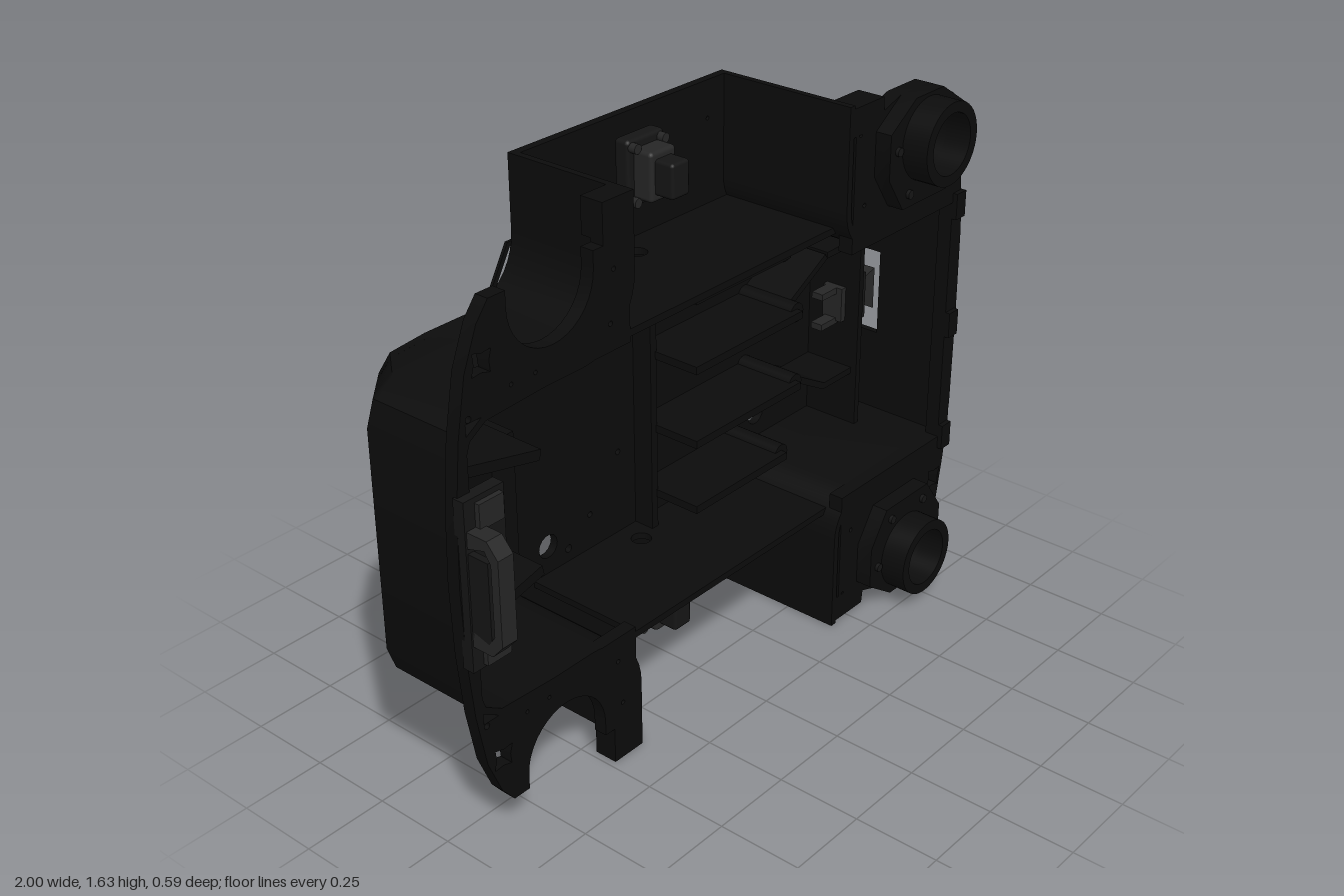
import * as THREE from 'three';
import { toCreasedNormals } from 'three/addons/utils/BufferGeometryUtils.js';
import { RoundedBoxGeometry } from 'three/addons/geometries/RoundedBoxGeometry.js';

const MID = 0.815; // mirror line of the tray, in y
const mat = (color) => new THREE.MeshStandardMaterial({ color, side: THREE.DoubleSide });
const black = mat(0x0c0c0c), dark = mat(0x151515), grey = mat(0x262626);
const flip = (p) => [p[0], 2 * MID - p[1]];
const vec = (pts) => pts.map((p) => new THREE.Vector2(p[0], p[1]));

// Points along an arc, angles in degrees
function arc(cx, cy, r, a0, a1, n = 10) {
  return Array.from({ length: n + 1 }, (_, i) => {
    const a = THREE.MathUtils.degToRad(a0 + ((a1 - a0) * i) / n);
    return [cx + r * Math.cos(a), cy + r * Math.sin(a)];
  });
}

// Extrudes an outline between two z levels, with round or polygon holes
function slab(pts, z0, z1, holes = [], steps = 1) {
  const shape = new THREE.Shape(vec(pts));
  for (const h of holes) shape.holes.push(new THREE.Path(vec(h)));
  const geo = new THREE.ExtrudeGeometry(shape, { depth: z1 - z0, bevelEnabled: false, steps });
  return toCreasedNormals(geo.translate(0, 0, z0), 0.6);
}
const hole = (x, y, r) => arc(x, y, r, 0, 360, r > 0.05 ? 40 : 14).slice(0, -1);
const star = (x, y) => Array.from({ length: 8 }, (_, i) => {
  const a = (i * Math.PI) / 4 + 0.7, r = i % 2 ? 0.024 : 0.042;
  return [x + r * Math.cos(a), y + r * Math.sin(a)];
});
const mirrorHoles = (list) => list.flatMap(([x, y, r]) => [hole(x, y, r), hole(x, 2 * MID - y, r)]);

// Thickens a polyline to one side, giving a closed wall outline
function ribbon(pts, t) {
  const inner = pts.map((p, i) => {
    const a = pts[Math.max(i - 1, 0)], b = pts[Math.min(i + 1, pts.length - 1)];
    const l = Math.hypot(b[0] - a[0], b[1] - a[1]);
    return [p[0] - ((b[1] - a[1]) / l) * t, p[1] + ((b[0] - a[0]) / l) * t];
  });
  return [...pts, ...inner.reverse()];
}

// Draws the left end in toward the back, so that it slopes
function slopeEnd(geo) {
  const p = geo.attributes.position;
  for (let i = 0; i < p.count; i++) {
    const x = p.getX(i), z = p.getZ(i);
    if (x < -0.7 && z < -0.2) p.setX(i, -0.7 + (x + 0.7) * (1 - ((-0.2 - z) / 0.09) * 0.39));
  }
  geo = geo.toNonIndexed();
  geo.computeVertexNormals();
  return toCreasedNormals(geo, 0.6);
}

export function createModel() {
  const model = new THREE.Group();
  const add = (name, geo, m = black, x = 0, y = 0, z = 0, parent = model) => {
    const mesh = new THREE.Mesh(geo, m);
    mesh.name = name;
    mesh.position.set(x, y, z);
    parent.add(mesh);
    return mesh;
  };
  const box = (name, x0, x1, y0, y1, z0, z1, m = black) =>
    add(name, new THREE.BoxGeometry(x1 - x0, y1 - y0, z1 - z0), m, (x0 + x1) / 2, (y0 + y1) / 2, (z0 + z1) / 2);
  // Upright rib between two points of the floor
  const rib = (name, a, b, t, z0, z1) => add(name, slab(ribbon([a, b], t), z0, z1));

  // Tray outline: upper halves of the left and right ends
  const leftTop = [[-0.98, MID], [-0.98, 1.13], [-0.955, 1.2], [-0.89, 1.24], [-0.7, 1.25],
    ...arc(-0.56, 1.42, 0.17, -90, 0), [-0.39, 1.63]];
  const rightTop = [[0.44, 1.63], ...arc(0.55, 1.33, 0.11, 180, 270), [0.97, 1.22], [0.99, 1.2], [0.99, MID]];
  const mirrored = (pts) => pts.slice().reverse().map(flip);
  const leftEdge = [...mirrored(leftTop), ...leftTop.slice(1)].reverse();
  const rightEdge = [...rightTop, ...mirrored(rightTop).slice(1)].reverse();

  // Floor with drain and screw holes
  const floorHoles = [[-0.33, 1.165, 0.036], [0.58, 1.12, 0.036], [-0.05, 1.335, 0.029], [-0.54, 1, 0.009],
    [-0.04, 0.99, 0.009], [-0.49, 1.11, 0.009], [-0.25, 1.21, 0.012], [-0.16, 1.14, 0.009],
    [-0.29, 1.52, 0.006], [0.35, 1.52, 0.006]];
  add('floor', slopeEnd(slab([...leftEdge, ...rightEdge], -0.29, -0.265,
    [...mirrorHoles(floorHoles), hole(0.31, 0.435, 0.014)])));

  // End walls, sweeping round into the side blocks
  add('leftWall', slopeEnd(slab(ribbon(leftEdge, 0.02), -0.29, 0.11, [], 40)));
  const half = (sign) => {
    const pts = rightTop.slice(0, -2);
    return ribbon(sign > 0 ? pts.slice().reverse() : pts.map(flip), 0.02);
  };
  for (const s of [1, -1]) add('rightSideWall', slab(half(s), -0.29, 0.165));

  // Right end wall with a window, built flat and turned upright
  const endWall = slab([[-0.165, 0.415], [0.29, 0.415], [0.29, 1.215], [-0.165, 1.215]], -0.02, 0,
    [[[0.1, 0.69], [0.23, 0.69], [0.23, 0.96], [0.1, 0.96]]]);
  add('rightEndWall', endWall.rotateY(Math.PI / 2), black, 0.99);
  const recess = new THREE.CylinderGeometry(0.5, 1, 0.06, 4, 1, true).rotateY(Math.PI / 4)
    .scale(0.135 / Math.SQRT2, 1, 0.065 / Math.SQRT2).rotateZ(Math.PI / 2).toNonIndexed();
  recess.computeVertexNormals();
  add('windowRecess', recess, grey, 0.96, 0.825, -0.165);
  box('socketPlate', 0.9, 0.935, 0.75, 0.9, -0.205, -0.125, dark);
  add('socket', new RoundedBoxGeometry(0.03, 0.12, 0.05, 3, 0.012), dark, 0.94, 0.825, -0.165);
  for (const y of [0.795, 0.855])
    add('socketPin', new THREE.CylinderGeometry(0.017, 0.017, 0.02, 16).rotateZ(Math.PI / 2), grey, 0.952, y, -0.165);
  box('socketBody', 0.82, 0.9, 0.77, 0.88, -0.2, -0.13, grey);
  for (const y of [0.76, 0.86]) box('socketLug', 0.75, 0.83, y, y + 0.02, -0.19, -0.15, grey);
  add('endPanel', new RoundedBoxGeometry(0.008, 0.26, 0.145, 2, 0.003), grey, 0.99, 0.825, 0.025);

  // Inner walls dividing the tray from the open side blocks
  for (const y of [1.26, flip([0, 1.26])[1]]) {
    const g = slab([[-0.39, -0.29], [0.45, -0.29], [0.45, 0.11], [-0.39, 0.11]], -0.01, 0.01, [hole(-0.03, -0.19, 0.03)]);
    add('dividingWall', g.rotateX(Math.PI / 2), black, 0, y);
  }

  // Left rim plate with wheel cut-outs
  const leftRim = [[-0.39, 1.63], [-0.48, 1.63], [-0.48, 1.52], [-0.515, 1.52],
    ...arc(-0.66, 1.475, 0.145, 0, -180, 18), [-0.805, 1.52], [-0.86, 1.52], [-0.9, 1.47], [-0.945, 1.36],
    [-0.975, 1.2], [-0.993, 1.02], [-1, MID]];
  const leftInner = [[-0.95, 1.235], [-0.39, 1.235]];
  add('leftRimPlate', slab([...leftRim, ...mirrored(leftRim).slice(1), ...mirrored(leftInner), ...leftInner],
    0.07, 0.11, [star(-0.89, 1.37), star(-0.89, flip([0, 1.37])[1]),
      ...mirrorHoles([[-0.94, 1.245, 0.009], [-0.8, 1.28, 0.006], [-0.72, 1.28, 0.006], [-0.46, 1.31, 0.007], [-0.445, 1.45, 0.007]])]));

  // Right rim plate carrying the two round mounts
  const rightRim = [[0.45, 1.62], [0.57, 1.62], [0.575, 1.58], [0.65, 1.605], [0.78, 1.605], [0.87, 1.565],
    [0.91, 1.54], [0.95, 1.43], [0.975, 1.28], [0.992, 1.1], [0.995, MID]];
  const rightInner = [[0.94, 1.2], [0.45, 1.2]];
  add('rightRimPlate', slab([...rightRim, ...mirrored(rightRim).slice(1), ...mirrored(rightInner), ...rightInner],
    0.12, 0.165, [star(0.928, 1.34), star(0.928, flip([0, 1.34])[1]),
      ...mirrorHoles([[0.715, 1.475, 0.089], [0.47, 1.54, 0.007], [0.5, 1.33, 0.007], [0.91, 1.45, 0.012]])]));
  for (const y of [0.43, 0.81, 1.19]) box('rimPad', 0.94, 0.985, y - 0.04, y + 0.04, 0.16, 0.18);

  for (const s of [1, -1]) {
    const Y = (y) => MID + s * (y - MID);
    const span = (name, x0, x1, y0, y1, z0, z1, m) =>
      box(name, x0, x1, Math.min(Y(y0), Y(y1)), Math.max(Y(y0), Y(y1)), z0, z1, m);

    // Round mount: eight-sided flange, collar and screws
    const cy = Y(1.475);
    const flange = [[0.54, 1.4], [0.54, 1.53], [0.65, 1.605], [0.78, 1.605], [0.895, 1.53], [0.895, 1.4], [0.82, 1.295], [0.61, 1.295]];
    add('mountFlange', slab(flange.map(([x, y]) => [x, Y(y)]), 0.165, 0.215, [hole(0.715, cy, 0.089)]));
    add('mountCollar', slab(hole(0.715, cy, 0.12), 0.215, 0.295, [hole(0.715, cy, 0.089)]));
    for (const [dx, dy] of [[-0.14, 0], [0.14, 0], [-0.08, -0.14], [0.08, -0.14]])
      add('mountScrew', new THREE.CylinderGeometry(0.013, 0.013, 0.014, 12).rotateX(Math.PI / 2), dark, 0.715 + dx, Y(1.475 + dy), 0.218);

    // Block corner strips
    span('rightBlockFlange', 0.44, 0.57, 1.54, 1.62, 0.08, 0.165);
    span('leftBlockFlange', -0.48, -0.38, 1.53, 1.63, 0.04, 0.11);

    // Connector standing in the open side block
    const plug = new THREE.Group();
    plug.name = 'connector';
    plug.position.set(0.025, Y(1.485), -0.265);
    plug.scale.y = s;
    model.add(plug);
    add('connectorBase', new RoundedBoxGeometry(0.145, 0.19, 0.05, 2, 0.012), dark, 0, 0, 0.04, plug);
    add('connectorBody', new RoundedBoxGeometry(0.1, 0.14, 0.07, 2, 0.012), grey, 0, 0, 0.09, plug);
    add('connectorCap', new RoundedBoxGeometry(0.07, 0.1, 0.07, 2, 0.01), dark, 0, 0, 0.15, plug);
    for (const x of [-0.055, 0.055]) for (const y of [-0.075, 0.075])
      add('connectorScrew', new THREE.CylinderGeometry(0.014, 0.014, 0.04, 12).rotateX(Math.PI / 2), grey, x, y, 0.065, plug);

    // Shelves and slanted ribs inside the tray
    for (const [y, x1] of [[1.14, 0.46], [0.93, 0.52]]) {
      span('shelf', 0.05, x1, y - 0.012, y + 0.012, -0.27, -0.05);
      add('shelfPost', new THREE.CylinderGeometry(0.03, 0.03, 0.2, 20).rotateX(Math.PI / 2), black, x1, Y(y), -0.17);
    }
    rib('slantedRib', [0.52, Y(0.93)], [0.7, Y(1.03)], 0.02, -0.27, -0.1);
    rib('slantedRib', [0.7, Y(1.03)], [0.84, Y(1.03)], 0.02, -0.27, -0.1);
    rib('leftGusset', [-0.94, Y(1.05)], [-0.64, Y(0.98)], 0.03, -0.2, 0.03);
  }
  box('crossRib', 0.03, 0.055, 0.38, 1.25, -0.27, -0.2);
  box('endRib', 0.84, 0.86, 0.42, 1.21, -0.27, -0.08);
  box('leftCrossBox', -0.68, -0.6, 0.63, 1.0, -0.27, -0.1);

  // Carrying handle on its bracket
  box('handleBracket', -0.995, -0.865, 0.585, 1.06, 0.1, 0.135, dark);
  for (const y of [0.63, 1.01]) box('bracketPad', -0.96, -0.88, y - 0.035, y + 0.035, 0.13, 0.15, grey);
  const loop = [[0.66, 0.12], [0.66, 0.2], [0.7, 0.235], [0.94, 0.235], [0.98, 0.2], [0.98, 0.12]];
  const inner = [[0.93, 0.12], [0.95, 0.19], [0.92, 0.21], [0.72, 0.21], [0.69, 0.19], [0.71, 0.12]];
  const handle = slab([...loop, ...inner].map(([y, z]) => [-z, y]), -0.025, 0.025);
  add('handle', handle.rotateY(Math.PI / 2), grey, -0.965);
  box('handleBacking', -0.99, -0.97, 0.68, 0.92, 0.12, 0.2, dark);

  // Honeycomb ridges across the back
  const R = 0.125;
  const hex = (r) => arc(0, 0, r, 0, 360, 6).slice(0, -1);
  const cell = slab(hex(R), -0.297, -0.288, [hex(R - 0.016)]);
  for (let i = 0; i < 9; i++) for (let j = 0; j < 5; j++) {
    const x = -0.72 + i * R * 1.5, y = 0.42 + (j + (i % 2) / 2) * R * Math.sqrt(3);
    const top = x < -0.35 || x > 0.4 ? 1.13 : 1.3;
    if (y + 0.1 < top + 0.1 && y - 0.1 > 2 * MID - top - 0.1) add('honeycombCell', cell, black, x, y);
  }
  return model;
}
